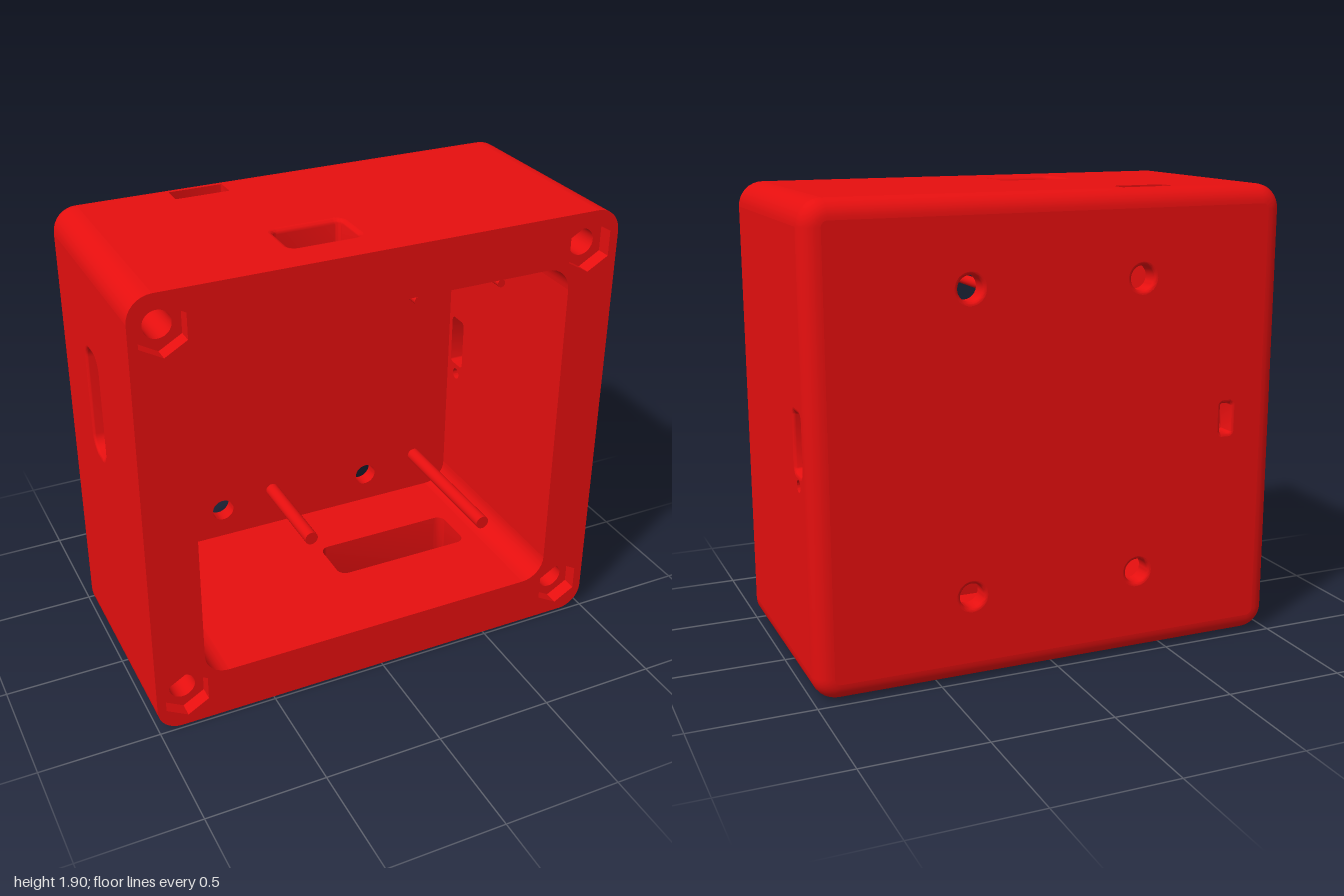
import * as THREE from 'three';
import { toCreasedNormals } from 'three/addons/utils/BufferGeometryUtils.js';

const W = 2, H = 1.905, CY = H / 2, ZF = 0.485, ZB = -0.485;
const R = 0.1, EDGE = 0.075;             // corner radius, back edge rounding
const IW = 1.58, IH = 1.48, FLOOR = -0.41; // cavity size and floor
const material = new THREE.MeshStandardMaterial({ color: 0xe60f0f });

// Counter-clockwise rounded rectangle; r = w / 2 = h / 2 gives a circle
function outline(cx, cy, w, h, r = 0, n = 8) {
  const pts = [];
  for (let k = 0; k < 4; k++) {
    const sx = k === 0 || k === 3 ? 1 : -1, sy = k < 2 ? 1 : -1;
    for (let i = 0; i <= (r > 0 ? n : 0); i++) {
      const a = (k + i / n) * Math.PI / 2;
      const p = new THREE.Vector2(cx + sx * (w / 2 - r) + r * Math.cos(a), cy + sy * (h / 2 - r) + r * Math.sin(a));
      if (!pts.length || p.distanceTo(pts[pts.length - 1]) > 1e-5) pts.push(p);
    }
  }
  if (pts[0].distanceTo(pts[pts.length - 1]) < 1e-5) pts.pop();
  return pts;
}
const rect = (x0, x1, y0, y1, r) => outline((x0 + x1) / 2, (y0 + y1) / 2, x1 - x0, y1 - y0, r);

function hexagon(cx, cy, r) {
  return Array.from({ length: 6 }, (_, i) => {
    const a = Math.PI / 6 + i * Math.PI / 3;
    return new THREE.Vector2(cx + r * Math.cos(a), cy + r * Math.sin(a));
  });
}

// Skin through rows of { pts, z }, running from high z to low z
function loft(rows, { closed = true, inward = false } = {}) {
  const n = rows[0].pts.length, pos = [], idx = [];
  rows.forEach(({ pts, z }) => pts.forEach(p => pos.push(p.x, p.y, z)));
  for (let i = 0; i < rows.length - 1; i++) {
    for (let j = 0; j < (closed ? n : n - 1); j++) {
      const a = i * n + j, b = i * n + (j + 1) % n, c = b + n, d = a + n;
      if (inward) idx.push(a, b, d, b, c, d);
      else idx.push(a, d, b, b, d, c);
    }
  }
  const g = new THREE.BufferGeometry();
  g.setAttribute('position', new THREE.Float32BufferAttribute(pos, 3));
  g.setIndex(idx);
  return toCreasedNormals(g, 0.6);
}

function sheet(pts, holes, z, flip = false) {
  const s = new THREE.Shape(pts);
  holes.forEach(h => s.holes.push(new THREE.Path(h)));
  const g = new THREE.ShapeGeometry(s);
  if (flip) g.rotateY(Math.PI);
  return g.translate(0, 0, z);
}

function add(group, name, geometry) {
  const m = new THREE.Mesh(geometry, material);
  m.name = name;
  group.add(m);
  return m;
}

// Cutout in a wall: x, y ranges, corner radius, softened outer lip f
const cut = (x0, x1, y0, y1, r, f = 0) => ({
  at: (e) => rect(x0 - e, x1 + e, y0 - e, y1 + e, r + e), f
});
const round = (x, y, r, f = 0) => cut(x - r, x + r, y - r, y + r, r, f);

// Wall in its own frame: outside at z = 0, inside at z = -t
function wall(parent, name, outer, inner, t, cuts) {
  const g = new THREE.Group();
  g.name = name;
  add(g, name + 'Outside', sheet(outer, cuts.map(c => c.at(c.f)), 0));
  // Mirrored in x so that the flipped sheet lands in place
  const mirror = pts => pts.map(p => new THREE.Vector2(-p.x, p.y)).reverse();
  add(g, name + 'Inside', sheet(mirror(inner), cuts.map(c => mirror(c.at(0))), -t, true));
  for (const c of cuts) {
    const rows = [];
    for (let i = 0; i <= (c.f ? 5 : 0); i++) {
      const a = i / 5 * Math.PI / 2;
      rows.push({ pts: c.at(c.f * (1 - Math.sin(a))), z: -c.f * (1 - Math.cos(a)) });
    }
    rows.push({ pts: c.at(0), z: -t });
    add(g, name + 'Cutout', loft(rows, { inward: true }));
  }
  parent.add(g);
  return g;
}

export function createModel() {
  const model = new THREE.Group();
  model.name = 'enclosure';
  const body = outline(0, CY, W, H, R), cavity = outline(0, CY, IW, IH, R);
  const tx = (W - IW) / 2, ty = (H - IH) / 2;
  const y0 = CY - IH / 2 + R, y1 = CY + IH / 2 - R, ix = IW / 2 - R;

  // Top and bottom walls
  const top = wall(model, 'topWall', rect(-W / 2 + R, W / 2 - R, -ZF, -FLOOR), rect(-ix, ix, -ZF, -FLOOR), ty, [
    cut(-0.53, -0.305, 0.32, 0.405, 0.005),
    cut(-0.32, -0.04, -0.32, -0.14, 0.025, 0.02)
  ]);
  top.rotation.x = -Math.PI / 2;
  top.position.y = H;
  const bottom = wall(model, 'bottomWall', rect(-W / 2 + R, W / 2 - R, FLOOR, ZF), rect(-ix, ix, FLOOR, ZF), ty, [
    cut(-0.01, 0.62, -0.12, 0.1, 0.04, 0.02)
  ]);
  bottom.rotation.x = Math.PI / 2;

  // Side walls: +x is the model's left
  const left = wall(model, 'leftWall', rect(-ZF, -FLOOR, R, H - R), rect(-ZF, -FLOOR, y0, y1), tx, [
    cut(0.285, 0.385, 0.88, 1.11, 0.02, 0.018),
    round(0.335, 0.832, 0.025)
  ]);
  left.rotation.y = Math.PI / 2;
  left.position.x = W / 2;
  const right = wall(model, 'rightWall', rect(FLOOR, ZF, R, H - R), rect(FLOOR, ZF, y0, y1), tx, [
    cut(-0.1, 0.05, 1.02, 1.47, 0.055, 0.015)
  ]);
  right.rotation.y = -Math.PI / 2;
  right.position.x = -W / 2;

  // Back wall with mounting holes and a slot
  const mounts = [];
  for (const x of [-0.362, 0.362]) for (const y of [0.35, 1.558]) mounts.push(round(x, y, 0.05, 0.015));
  const back = wall(model, 'backWall', outline(0, CY, W - 2 * EDGE, H - 2 * EDGE, R - EDGE), cavity, FLOOR - ZB,
    [...mounts, cut(0.737, 0.785, 0.895, 1.02, 0.01, 0.015)]);
  back.rotation.y = Math.PI;
  back.position.z = ZB;

  // Rounded back rim
  const rim = [];
  for (let i = 0; i <= 7; i++) {
    const a = i / 7 * Math.PI / 2, e = EDGE * (1 - Math.cos(a));
    rim.push({ pts: outline(0, CY, W - 2 * e, H - 2 * e, R - e), z: FLOOR - EDGE * Math.sin(a) });
  }
  add(model, 'backRim', loft(rim));

  // Rounded corners, outside and inside
  for (let k = 0; k < 4; k++) {
    for (const [pts, inward] of [[body, false], [cavity, true]]) {
      const arc = pts.slice(k * 9, k * 9 + 9);
      add(model, inward ? 'innerCorner' : 'outerCorner',
        loft([{ pts: arc, z: ZF }, { pts: arc, z: FLOOR }], { closed: false, inward }));
    }
  }

  // Front frame with hexagonal nut pockets and blind screw holes
  const pockets = [];
  for (const x of [-0.873, 0.873]) for (const y of [0.148, 1.758]) pockets.push([x, y]);
  add(model, 'frontFrame', sheet(body, [cavity, ...pockets.map(([x, y]) => hexagon(x, y, 0.104))], ZF));
  for (const [x, y] of pockets) {
    const hex = hexagon(x, y, 0.104), hole = outline(x, y, 0.11, 0.11, 0.055);
    const z1 = ZF - 0.06, z2 = ZF - 0.35;
    add(model, 'nutPocket', loft([{ pts: hex, z: ZF }, { pts: hex, z: z1 }], { inward: true }));
    add(model, 'nutSeat', sheet(hex, [hole], z1));
    add(model, 'screwHole', loft([{ pts: hole, z: z1 }, { pts: hole, z: z2 }], { inward: true }));
    add(model, 'screwHoleEnd', sheet(hole, [], z2));
  }

  // Support pins rising from the floor: x, y, radius, tip z
  for (const [x, y, r, tip] of [
    [-0.118, 0.395, 0.03, 0.03], [0.62, 0.395, 0.03, 0.24],
    [-0.655, 1.547, 0.019, 0.03], [0.26, 1.547, 0.019, 0.24], [0.638, 1.55, 0.017, 0.24]
  ]) {
    const pin = add(model, 'supportPin', new THREE.CylinderGeometry(r, r, tip - FLOOR, 24));
    pin.rotation.x = Math.PI / 2;
    pin.position.set(x, y, (tip + FLOOR) / 2);
  }
  return model;
}
